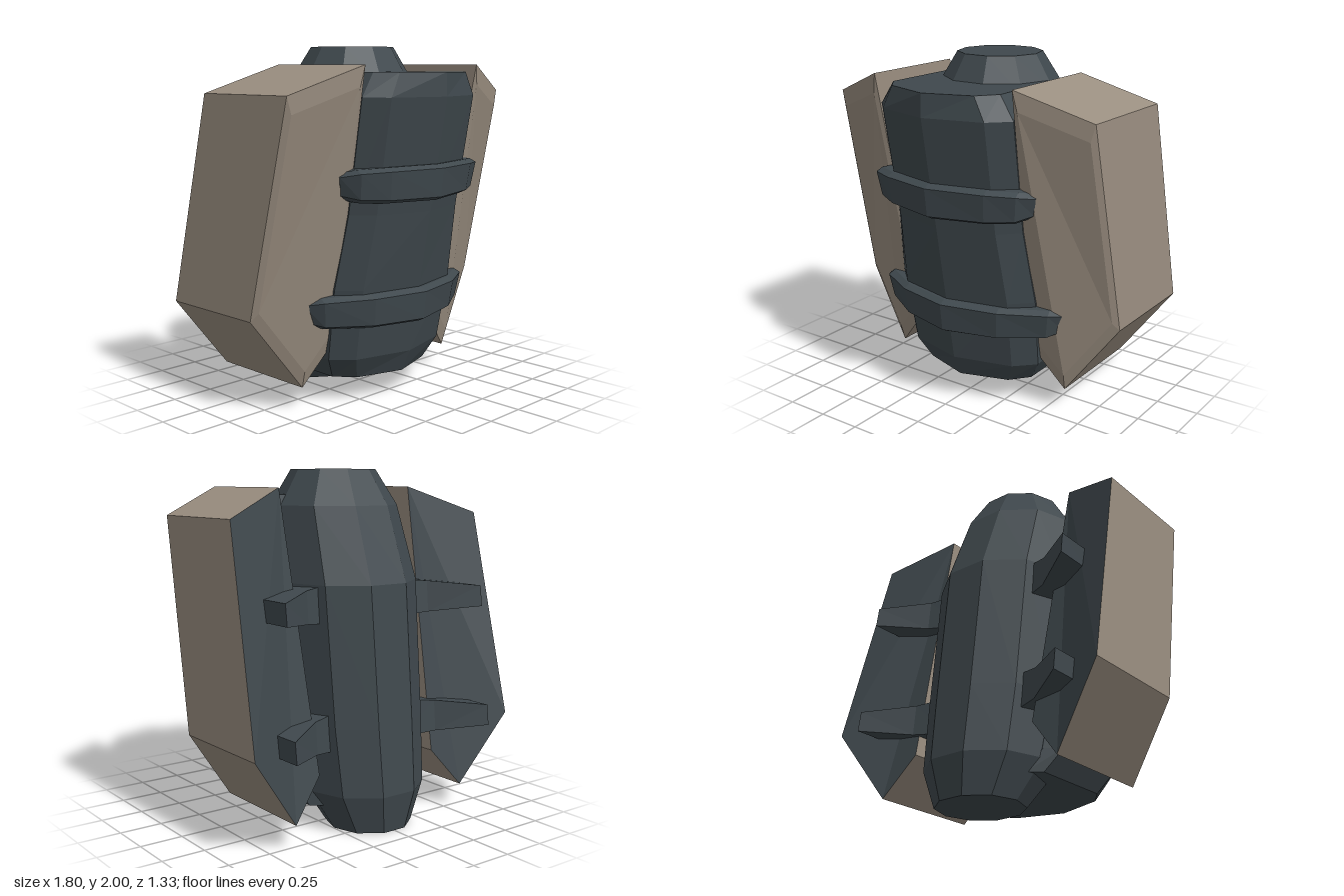
import * as THREE from 'three';

// Flat-faceted loft through rings of [x, y, z] points, capped at both ends.
// Group 0 is the sides and first cap, group 1 the last cap.
function loft(rings) {
  const tris = [];
  const n = rings[0].length;
  const cap = (ring, flip) => {
    for (let i = 1; i < n - 1; i++) {
      tris.push(flip ? [ring[0], ring[i + 1], ring[i]] : [ring[0], ring[i], ring[i + 1]]);
    }
  };
  cap(rings[0], true);
  for (let r = 0; r < rings.length - 1; r++) {
    const a = rings[r], b = rings[r + 1];
    for (let i = 0; i < n; i++) {
      const j = (i + 1) % n;
      tris.push([a[i], a[j], b[j]], [a[i], b[j], b[i]]);
    }
  }
  const sideCount = tris.length * 3;
  cap(rings[rings.length - 1], false);

  // Turn the shell outward when the rings ran the other way
  const v = (p) => new THREE.Vector3(...p);
  let volume = 0;
  for (const [a, b, c] of tris) volume += v(a).dot(v(b).cross(v(c)));
  if (volume < 0) for (const t of tris) t.reverse();

  const geometry = new THREE.BufferGeometry();
  geometry.setAttribute('position', new THREE.Float32BufferAttribute(tris.flat(2), 3));
  geometry.addGroup(0, sideCount, 0);
  geometry.addGroup(sideCount, (n - 2) * 3, 1);
  geometry.computeVertexNormals();
  return geometry;
}

export function createModel() {
  const group = new THREE.Group();
  const dark = new THREE.MeshStandardMaterial({ color: 0x3f484d });
  dark.name = 'dark slate';
  const tan = new THREE.MeshStandardMaterial({ color: 0x9a8e80 });
  tan.name = 'tan';

  const add = (name, rings, materials = [dark, dark]) => {
    const mesh = new THREE.Mesh(loft(rings), materials);
    mesh.name = name;
    group.add(mesh);
  };

  // Leaning ten-sided tank: [y, centre z, radius]
  const tank = [
    [0, -0.395, 0.245], [0.22, -0.323, 0.36], [0.6, -0.265, 0.385],
    [1.38, -0.18, 0.4], [1.8, -0.06, 0.365], [2, -0.055, 0.243],
  ];
  add('tank', tank.map(([y, z, r]) => Array.from({ length: 10 }, (_, i) => {
    const a = (i * Math.PI) / 5;
    return [r * Math.cos(a), y, z + r * Math.sin(a)];
  })));

  // Front shell with a shallow ridge: [y, half width, front z]
  const shell = [
    [0.14, 0.37, 0.35], [0.27, 0.455, 0.41], [0.68, 0.475, 0.48],
    [1.1, 0.437, 0.553], [1.73, 0.447, 0.663], [1.86, 0.36, 0.658],
  ];
  add('frontShell', shell.map(([y, w, z]) => [
    [0, y, z], [w * 0.76, y, z - 0.09], [w, y, z - 0.2], [w, y, z - 0.68], [w * 0.8, y, z - 0.74],
    [-w * 0.8, y, z - 0.74], [-w, y, z - 0.68], [-w, y, z - 0.2], [-w * 0.76, y, z - 0.09],
  ]));

  // Chevron bands wrapped over the shell
  const band = (name, y, zc, zEnd, xEnd) => {
    const half = [
      [xEnd, zEnd, 0.07, 0.06], [xEnd - 0.06, zEnd + 0.1, 0.09, 0.15],
      [0.33, zc - 0.08, 0.097, 0.25], [0, zc, 0.1, 0.3],
    ];
    const mirrored = half.slice(0, 3).reverse().map(([x, ...rest]) => [-x, ...rest]);
    add(name, [...half, ...mirrored].map(([x, z, h, depth]) => [
      [x, y + h - 0.02, z], [x * 0.98, y + h, z - 0.04], [x * 0.92, y + h, z - depth],
      [x * 0.92, y - h, z - depth], [x * 0.92, y - h, z - 0.06], [x * 0.96, y - h + 0.02, z - 0.02],
    ]));
  };
  band('upperBand', 1.265, 0.65, 0.39, 0.54);
  band('lowerBand', 0.56, 0.535, 0.21, 0.635);

  // Side pods with a bevelled front and a dark back
  const podFront = [
    [0.46, 1.9, 0.5], [0.86, 1.745, 0.345], [0.9, 0.545, 0.075], [0.6, 0.13, 0.15], [0.41, 0.36, 0.2],
  ];
  const centre = [0.65, 0.95, 0.26];
  const inset = podFront.map((p) => p.map((c, k) => c + (centre[k] - c) * 0.12 + (k === 2 ? 0.015 : 0)));
  const podBack = podFront.map(([x, y, z]) => [x, y, z - 0.68]);

  // Tapered struts behind the pods: [name, y, z offset]
  const struts = [['UpperStrut', 1.27, 0.08], ['LowerStrut', 0.57, 0]];

  for (const [side, s] of [['left', 1], ['right', -1]]) {
    const mirror = (ring) => ring.map(([x, y, z]) => [s * x, y, z]);
    add(side + 'Pod', [inset, podFront, podBack].map(mirror), [tan, dark]);

    for (const [name, y, dz] of struts) {
      const section = (x, h, back, front) => mirror([
        [x, y + h, back + dz + 0.015], [x, y + h, front + dz],
        [x, y - h, front + dz], [x, y - h, back + dz],
      ]);
      add(side + name, [
        section(0.22, 0.11, -0.43, -0.1),
        section(0.43, 0.09, -0.49, -0.25),
        section(0.69, 0.06, -0.67, -0.45),
      ]);
    }
  }
  return group;
}
